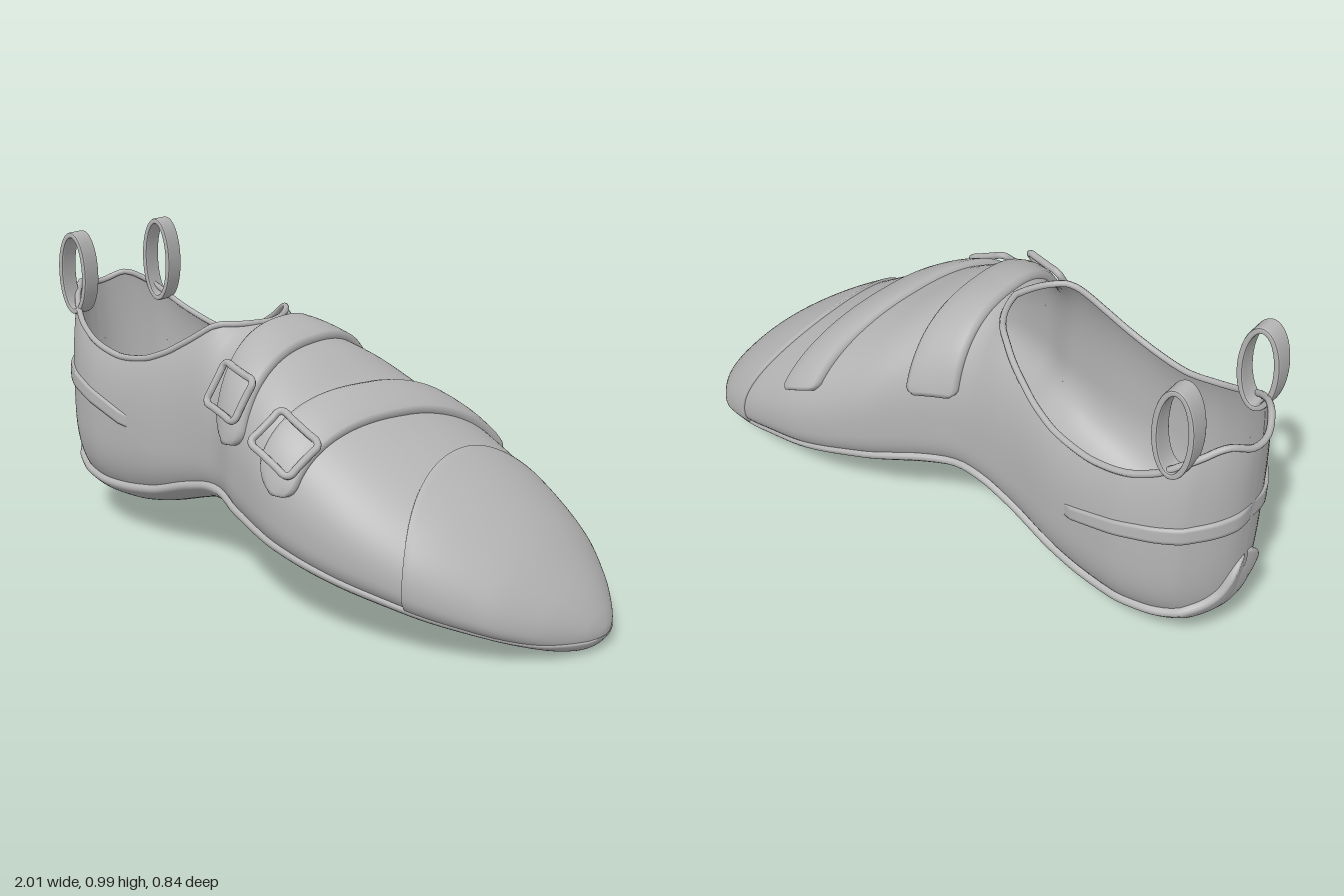
import * as THREE from 'three';
import { mergeVertices } from 'three/addons/utils/BufferGeometryUtils.js';

const grey = new THREE.MeshStandardMaterial({ color: 0xb4b4b4, side: THREE.DoubleSide });
grey.name = 'grey';

// Smooth monotone curve through [x, value] pairs
function curve(...p) {
  const n = p.length;
  const d = p.slice(1).map((q, i) => (q[1] - p[i][1]) / (q[0] - p[i][0]));
  const m = p.map((_, i) => {
    if (i === 0) return d[0];
    if (i === n - 1) return d[n - 2];
    return d[i - 1] * d[i] <= 0 ? 0 : 2 * d[i - 1] * d[i] / (d[i - 1] + d[i]);
  });
  return x => {
    if (x <= p[0][0]) return p[0][1];
    if (x >= p[n - 1][0]) return p[n - 1][1];
    let i = 0;
    while (x > p[i + 1][0]) i++;
    const h = p[i + 1][0] - p[i][0], t = (x - p[i][0]) / h, t2 = t * t, t3 = t2 * t;
    return (2 * t3 - 3 * t2 + 1) * p[i][1] + (t3 - 2 * t2 + t) * h * m[i]
      + (3 * t2 - 2 * t3) * p[i + 1][1] + (t3 - t2) * h * m[i + 1];
  };
}

// Foot proportions from heel (x = -1) to toe (x = 1)
const halfWidth = curve([-1, 0], [-0.998, 0.032], [-0.99, 0.068], [-0.97, 0.112], [-0.95, 0.143], [-0.92, 0.18],
  [-0.9, 0.203], [-0.8, 0.255], [-0.7, 0.275], [-0.5, 0.272], [-0.3, 0.255], [-0.15, 0.263], [0, 0.317], [0.2, 0.39],
  [0.4, 0.41], [0.6, 0.378], [0.8, 0.29], [0.9, 0.195], [0.95, 0.122], [0.98, 0.065], [0.995, 0.025], [1, 0]);
const midZ = curve([-1, -0.1], [-0.9, -0.09], [-0.8, -0.078], [-0.7, -0.068], [-0.5, -0.048], [-0.3, -0.025],
  [-0.15, -0.003], [0, 0.02], [0.2, 0.01], [0.4, -0.01], [0.6, -0.028], [0.8, -0.058], [0.9, -0.075], [1, -0.1]);
const topY = curve([-1, 0.775], [-0.96, 0.8], [-0.9, 0.765], [-0.8, 0.695], [-0.7, 0.655], [-0.6, 0.638],
  [-0.5, 0.65], [-0.4, 0.685], [-0.3, 0.742], [-0.2, 0.796], [-0.12, 0.795], [0, 0.77], [0.1, 0.735],
  [0.2, 0.682], [0.4, 0.58], [0.6, 0.467], [0.7, 0.4], [0.8, 0.318], [0.9, 0.21], [0.95, 0.145], [1, 0.06]);
const wideY = curve([-1, 0.5], [-0.9, 0.43], [-0.7, 0.41], [-0.5, 0.42], [-0.3, 0.43], [-0.1, 0.435],
  [0.1, 0.4], [0.3, 0.33], [0.5, 0.27], [0.7, 0.19], [0.9, 0.1], [1, 0.05]);
const lowY = curve([-1, 0.33], [-0.99, 0.25], [-0.97, 0.2], [-0.95, 0.175], [-0.9, 0.14], [-0.8, 0.12], [-0.7, 0.117],
  [-0.6, 0.122], [-0.5, 0.142], [-0.3, 0.21], [-0.2, 0.243], [-0.1, 0.25], [0, 0.232], [0.2, 0.187],
  [0.4, 0.142], [0.6, 0.1], [0.8, 0.056], [0.95, 0.016], [1, 0.04]);
const soleTop = curve([-1, 0.38], [-0.97, 0.28], [-0.93, 0.24], [-0.85, 0.21], [-0.7, 0.2], [-0.5, 0.225],
  [-0.3, 0.29], [-0.15, 0.325], [0, 0.308], [0.2, 0.265], [0.4, 0.222], [0.6, 0.172], [0.8, 0.108], [0.9, 0.07], [1, 0.045]);
// How far the ankle opening spreads, as a share of the width
const mouth = curve([-1, 0.75], [-0.9, 0.84], [-0.8, 0.87], [-0.5, 0.88], [-0.4, 0.86], [-0.3, 0.78], [-0.2, 0.57],
  [-0.17, 0.44], [-0.15, 0.32], [-0.13, 0.14], [-0.12, 0]);
// Fullness of the section above and below its widest line
const upperFull = curve([0, 0.8], [0.3, 0.88], [0.6, 0.97], [1, 1]);
const lowerFull = curve([-0.8, 0.72], [-0.4, 0.68], [0, 0.62], [0.3, 0.68], [0.6, 0.78], [0.9, 0.9]);
// How far the sole edge stands out
const soleEdge = curve([-0.6, 0.021], [0, 0.019], [0.5, 0.014], [1, 0.012]);

// Point on the foot: v runs 0 top, 1 left side, 2 underside, 3 right side, 4 top
function skin(x, v) {
  if (v < 0) v += 4;
  const side = v > 2 ? -1 : 1, m = v > 2 ? 4 - v : v;
  const w = halfWidth(x), c = wideY(x);
  let z, y;
  if (m <= 1) {
    const e = upperFull(x), aMax = Math.acos(Math.pow(mouth(x), 1 / e)), a = (1 - m) * aMax;
    z = w * Math.pow(Math.max(0, Math.cos(a)), e);
    y = c + (topY(x) - c) * Math.pow(Math.sin(a) / Math.sin(aMax), e);
  } else {
    const e = lowerFull(x), b = (m - 1) * Math.PI / 2;
    z = w * Math.pow(Math.max(0, Math.cos(b)), e);
    y = c - (c - lowY(x)) * Math.pow(Math.sin(b), e);
  }
  return new THREE.Vector3(x, y, midZ(x) + side * z);
}

// Outward direction of the surface
function outward(x, v) {
  const e = 0.004;
  const n = skin(Math.min(1, x + e), v).sub(skin(Math.max(-1, x - e), v))
    .cross(skin(x, v + e).sub(skin(x, v - e))).normalize();
  const out = skin(x, v).sub(new THREE.Vector3(x * 0.95, wideY(x), midZ(x)));
  return n.dot(out) < 0 ? n.negate() : n;
}

// Surface point lifted by a distance that fades at the heel and toe tips
function lifted(x, v, off) {
  return skin(x, v).addScaledVector(outward(x, v), off * Math.min(1, halfWidth(x) / 0.07));
}

// v on the left side at height y
function vAt(x, y) {
  let lo = 0, hi = 2;
  for (let i = 0; i < 24; i++) {
    const mid = (lo + hi) / 2;
    if (skin(x, mid).y > y) lo = mid; else hi = mid;
  }
  return lo;
}

// Surface from a grid of points
function sheet(nu, nv, fn) {
  const pos = [], idx = [];
  for (let i = 0; i <= nu; i++) for (let j = 0; j <= nv; j++) {
    pos.push(...fn(i / nu, j / nv, j).toArray());
    if (i < nu && j < nv) {
      const a = i * (nv + 1) + j, b = a + nv + 1;
      idx.push(a, a + 1, b, b, a + 1, b + 1);
    }
  }
  let g = new THREE.BufferGeometry();
  g.setAttribute('position', new THREE.Float32BufferAttribute(pos, 3));
  g.setIndex(idx);
  g = mergeVertices(g, 1e-5);
  g.computeVertexNormals();
  return g;
}

const alongX = (u, end = 1) => -Math.cos(u * Math.PI) * end;

export function createModel() {
  const shoe = new THREE.Group();
  const add = (name, geometry) => {
    const m = new THREE.Mesh(geometry, grey);
    m.name = name;
    shoe.add(m);
    return m;
  };

  add('upper', sheet(110, 96, (u, t) => skin(alongX(u), t * 4)));

  // Sole wrapping the underside with a raised, rounded edge
  add('sole', sheet(100, 60, (u, t, j) => {
    const x = alongX(u, 0.9995), v0 = vAt(x, soleTop(x));
    const k = Math.min(j, 60 - j), edge = soleEdge(x);
    const s = Math.min(1, Math.max(0, (j - 1) / 58));
    const off = k === 0 ? 0 : k === 1 ? edge * 0.6 : k === 2 ? edge * 0.9 : edge + (0.012 - edge) * Math.min(1, (k - 3) / 15);
    return lifted(x, v0 + (4 - 2 * v0) * s, off);
  }));

  // Toe cap with a curved seam
  add('toeCap', sheet(40, 60, (u, t) => {
    const v = -1.25 + 2.5 * t, k = Math.sin(Math.min(1, Math.abs(v)) * Math.PI / 2);
    const seam = 0.532 + (v < 0 ? 0.15 : 0.078) * k * k;
    const r = Math.max(0, (u - 0.025) / 0.975);
    return lifted(seam + (0.9995 - seam) * Math.sin(r * Math.PI / 2), v, u === 0 ? 0 : 0.008);
  }));

  // Collar binding around the ankle opening
  const rim = [];
  for (let i = 0; i <= 30; i++) rim.push(skin(-0.56 + 0.44 * Math.cos(i / 30 * Math.PI), 0));
  for (let i = 29; i > 0; i--) rim.push(skin(-0.56 + 0.44 * Math.cos(i / 30 * Math.PI), 4));
  add('collar', new THREE.TubeGeometry(new THREE.CatmullRomCurve3(rim, true), 160, 0.01, 8, true));

  // Heel tension bands
  const bandY = curve([-1, 0.54], [-0.8, 0.51], [-0.55, 0.44]);
  for (const side of [1, -1]) {
    add(side > 0 ? 'leftHeelBand' : 'rightHeelBand', sheet(30, 7, (u, t, j) => {
      const x = -0.9995 + 0.4495 * u * u, s = Math.min(1, Math.max(0, (j - 1) / 5));
      const m = vAt(x, bandY(x) + (0.5 - s) * (0.058 - 0.018 * u));
      return lifted(x, side > 0 ? m : 4 - m, j === 0 || j === 7 || u === 1 ? 0 : 0.01);
    }));
  }

  // Instep straps, straight from above, with a round tip on the left side
  const across = [-1, -1, -0.85, -0.4, 0, 0.4, 0.85, 1, 1];
  const height = [0, 0.014, 0.022, 0.025, 0.026, 0.025, 0.022, 0.014, 0];
  const reach = v => Math.sin(Math.max(-1, Math.min(1, v)) * Math.PI / 2);
  function strap(name, x0, y0, x1, y1, half) {
    const va = -vAt(x0, y0), vb = vAt(x1, y1);
    add(name, sheet(80, 8, (u, t, j) => {
      const s = Math.min(1, Math.max(0, (u - 1 / 80) / (78 / 80))), v = va + (vb - va) * s;
      const tip = Math.max(0, (s - 0.92) / 0.08), heel = Math.max(0, (0.03 - s) / 0.03);
      const w = half * (1 - 0.08 * s) * Math.sqrt(Math.max(0.02, 1 - tip * tip)) * (1 - 0.25 * heel * heel);
      const x = x0 + (x1 - x0) * (reach(v) - reach(va)) / (reach(vb) - reach(va)) + w * across[j];
      return lifted(x, v, u === 0 || u === 1 ? 0 : height[j]);
    }));
  }
  strap('rearStrap', -0.035, 0.56, -0.018, 0.51, 0.078);
  strap('frontStrap', 0.405, 0.42, 0.212, 0.43, 0.07);

  // Flat buckle frames resting on the straps
  function buckle(name, cx, cy, hw, hh, turn) {
    const v = vAt(cx, cy), n = outward(cx, v), centre = lifted(cx, v, 0.029);
    const right = skin(cx + 0.05, v).sub(skin(cx - 0.05, v)).projectOnPlane(n).normalize().applyAxisAngle(n, turn);
    const up = n.clone().cross(right);
    const pts = [];
    for (const [sx, sy] of [[1, 1], [-1, 1], [-1, -1], [1, -1]]) {
      const corner = [[1, 0.4], [1, 0.84], [0.86, 1], [0.4, 1]];
      if (sx * sy < 0) corner.reverse();
      for (const [a, b] of corner) {
        pts.push(centre.clone().addScaledVector(right, sx * a * hw).addScaledVector(up, sy * b * hh));
      }
    }
    add(name, new THREE.TubeGeometry(new THREE.CatmullRomCurve3(pts, true), 80, 0.011, 8, true));
  }
  buckle('rearBuckle', -0.022, 0.645, 0.085, 0.066, 0.12);
  buckle('frontBuckle', 0.212, 0.552, 0.08, 0.064, 0);

  // Pull loops at the heel
  for (const [name, x, y, z] of [['leftPullLoop', -0.883, 0.855, 0.085], ['rightPullLoop', -0.848, 0.848, -0.273]]) {
    const ry = 0.986 - y;
    const oval = new THREE.Shape().absellipse(0, 0, 0.058, ry, 0, Math.PI * 2);
    oval.holes.push(new THREE.Path().absellipse(0, 0, 0.05, ry - 0.008, 0, Math.PI * 2, true));
    const g = new THREE.ExtrudeGeometry(oval, {
      depth: 0.05, curveSegments: 40, bevelEnabled: true, bevelThickness: 0.006, bevelSize: 0.005, bevelSegments: 2,
    });
    add(name, g.translate(0, 0, -0.025)).position.set(x, y, z);
  }

  return shoe;
}
